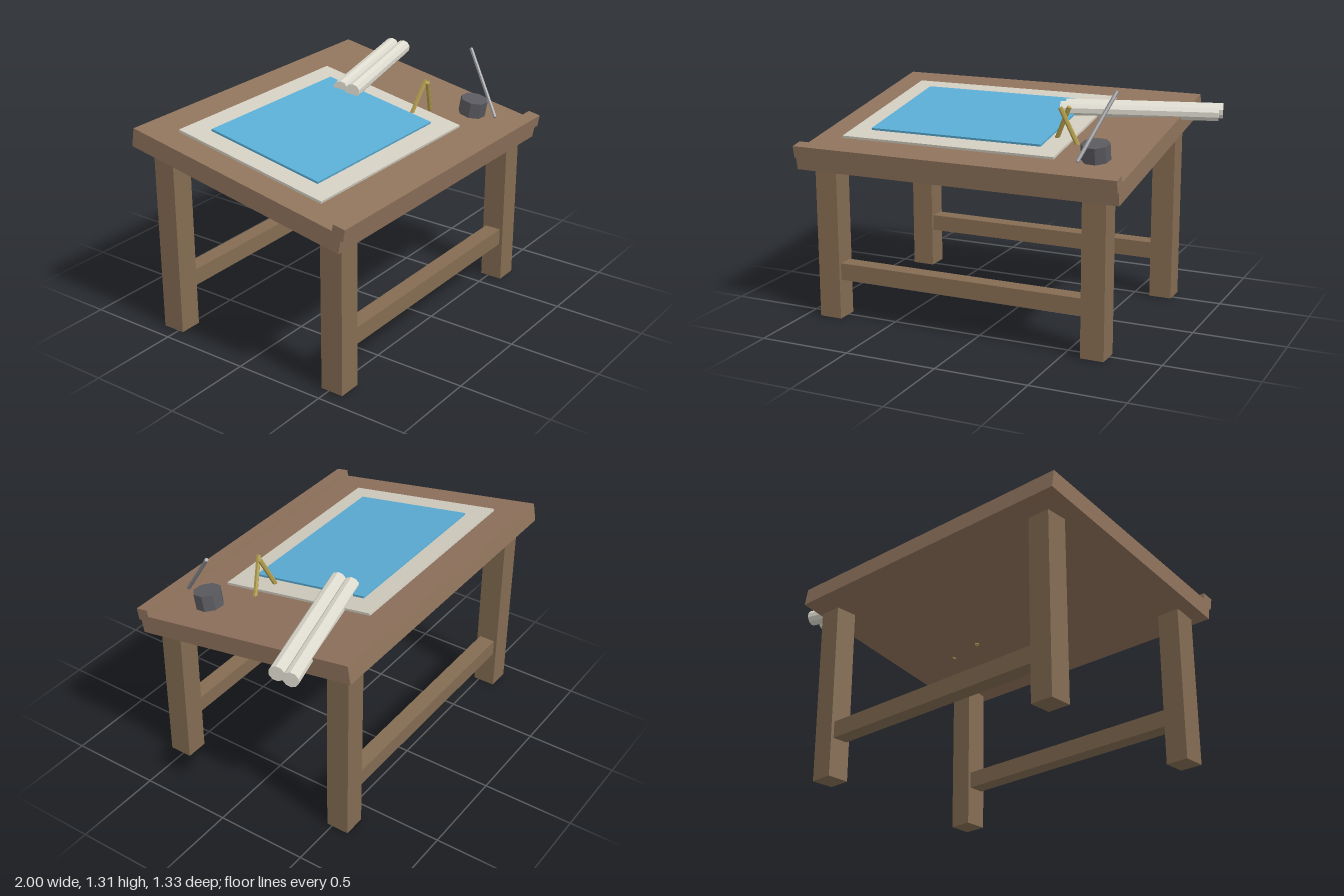
import * as THREE from 'three';

const mat = (color) => new THREE.MeshStandardMaterial({ color, flatShading: true });
const wood = mat(0x8f735c);
const legWood = mat(0x846c52);
const matPaper = mat(0xd2cdc0);
const bluePaper = mat(0x5aadd4);
const rollPaper = mat(0xdedbcf);
const ink = mat(0x5a5a60);
const steel = mat(0x909094);
const brass = mat(0xb5a050);

function box(parent, name, material, size, pos) {
  const mesh = new THREE.Mesh(new THREE.BoxGeometry(...size), material);
  mesh.name = name;
  mesh.position.set(...pos);
  parent.add(mesh);
  return mesh;
}

// Straight rod between two points
function rod(parent, name, material, from, to, radius, sides) {
  const a = new THREE.Vector3(...from);
  const b = new THREE.Vector3(...to);
  const dir = b.clone().sub(a);
  const mesh = new THREE.Mesh(new THREE.CylinderGeometry(radius, radius, dir.length(), sides), material);
  mesh.name = name;
  mesh.position.copy(a).add(b).multiplyScalar(0.5);
  mesh.quaternion.setFromUnitVectors(new THREE.Vector3(0, 1, 0), dir.normalize());
  parent.add(mesh);
  return mesh;
}

export function createModel() {
  const model = new THREE.Group();
  model.name = 'draftingTable';
  const midX = -0.0975;

  // Legs and the stretchers joining each pair
  const rows = [
    { name: 'front', z: 0.518, height: 0.844 },
    { name: 'back', z: -0.533, height: 0.982 },
  ];
  for (const { name, z, height } of rows) {
    for (const side of [-1, 1]) {
      box(model, name + (side > 0 ? 'LeftLeg' : 'RightLeg'), legWood,
        [0.126, height, 0.126], [midX + side * 0.757, height / 2, z]);
    }
    box(model, name + 'Stretcher', legWood, [1.39, 0.092, 0.09], [midX, 0.262, z]);
  }

  // Tilted board with everything that lies flat on it
  const board = new THREE.Group();
  board.name = 'tiltedBoard';
  board.position.set(midX, 0.982, -0.0106);
  board.rotation.x = THREE.MathUtils.degToRad(10);
  model.add(board);
  box(board, 'tableTop', wood, [1.805, 0.101, 1.307], [0, 0, 0]);
  box(board, 'pencilLip', wood, [1.805, 0.065, 0.069], [0, 0.054, 0.634]);
  box(board, 'backingSheet', matPaper, [1.224, 0.014, 0.906], [-0.14, 0.0565, -0.034]);
  box(board, 'blueSheet', bluePaper, [0.99, 0.012, 0.68], [-0.14, 0.069, -0.034]);

  const inkPot = new THREE.Mesh(new THREE.CylinderGeometry(0.075, 0.075, 0.087, 8), ink);
  inkPot.name = 'inkPot';
  inkPot.position.set(0.68, 0.0935, 0.367);
  inkPot.rotation.y = 0.3;
  board.add(inkPot);

  // Pen leaning over the ink pot
  rod(model, 'pen', steel, [0.548, 0.989, 0.528], [0.662, 1.306, 0.294], 0.0105, 6);

  // Crossed divider legs, their points pushed through the board
  rod(model, 'dividerLegA', brass, [0.235, 0.896, 0.139], [0.368, 1.187, 0.194], 0.0125, 6);
  rod(model, 'dividerLegB', brass, [0.459, 0.896, 0.178], [0.333, 1.187, 0.229], 0.0125, 6);

  // Two paper rolls side by side, overhanging the left edge
  const angle = THREE.MathUtils.degToRad(15);
  const dx = 0.421 * Math.cos(angle);
  const dz = 0.421 * Math.sin(angle);
  for (const z of [-0.266, -0.347]) {
    rod(model, 'paperRoll', rollPaper,
      [0.582 - dx, 1.101, z + dz], [0.582 + dx, 1.101, z - dz], 0.042, 10);
  }

  return model;
}
